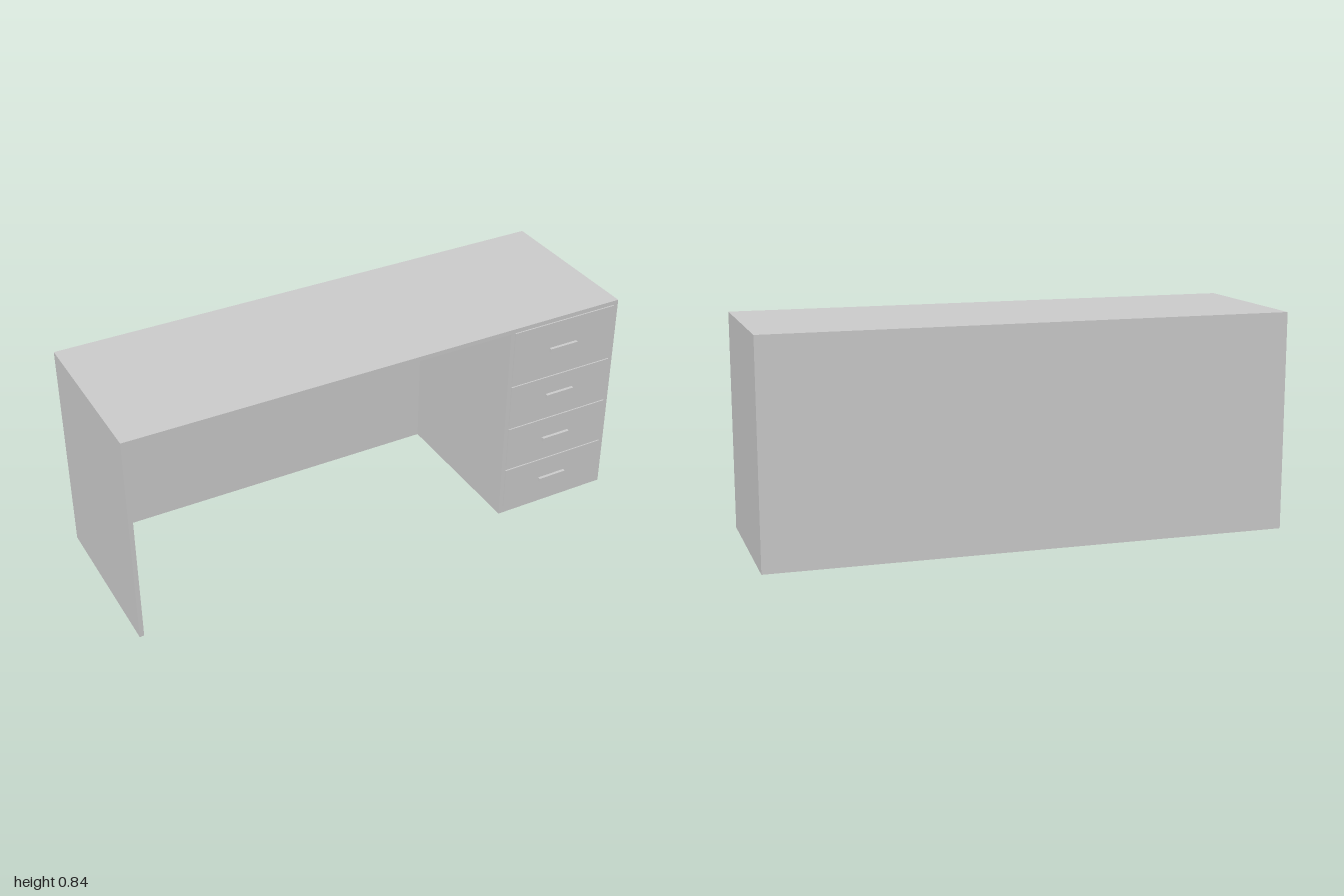
import * as THREE from 'three';

const material = new THREE.MeshStandardMaterial({ color: 0xcccccc });

// Box given by its minimum and maximum along each axis
function box(name, [x0, x1], [y0, y1], [z0, z1]) {
  const mesh = new THREE.Mesh(new THREE.BoxGeometry(x1 - x0, y1 - y0, z1 - z0), material);
  mesh.name = name;
  mesh.position.set((x0 + x1) / 2, (y0 + y1) / 2, (z0 + z1) / 2);
  return mesh;
}

export function createModel() {
  const desk = new THREE.Group();
  desk.name = 'desk';

  const height = 0.84, board = 0.017;
  const back = -0.332, front = 0.315;
  const under = height - board;
  const cabinetX = 0.52;

  // Carcass: top, side panel, back panel and drawer cabinet
  desk.add(
    box('desktop', [-1, 1], [under, height], [back, front]),
    box('sidePanel', [-1, -1 + board], [0, under], [back, front]),
    box('backPanel', [-1 + board, cabinetX], [0, under], [back, back + board]),
    box('drawerCabinet', [cabinetX, 1], [0, under], [back, front]),
  );

  // Drawers, bottom to top: front panel with a bar handle
  const face = 0.32;
  const drawers = [
    { y: [0.033, 0.205], handle: 0.112 },
    { y: [0.224, 0.397], handle: 0.305 },
    { y: [0.415, 0.588], handle: 0.505 },
    { y: [0.608, 0.823], handle: 0.71 },
  ];
  drawers.forEach(({ y, handle }, i) => {
    const drawer = new THREE.Group();
    drawer.name = `drawer${i + 1}`;
    drawer.add(
      box('drawerFront', [0.537, 0.981], y, [front, face]),
      box('drawerHandle', [0.695, 0.815], [handle - 0.008, handle + 0.008], [face, 0.332]),
    );
    desk.add(drawer);
  });

  return desk;
}
